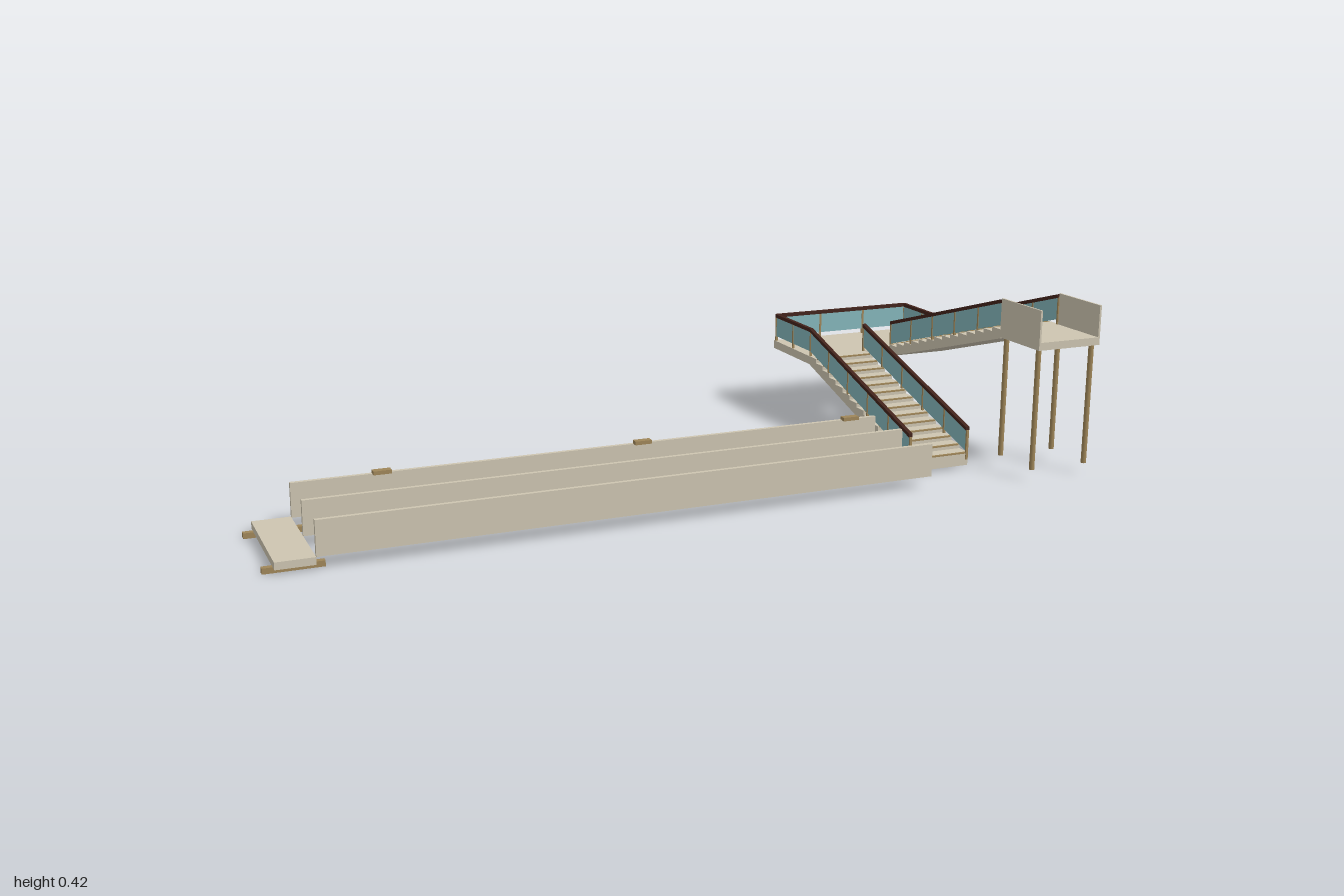
import * as THREE from 'three';

const mat = (name, color) => {
  const m = new THREE.MeshStandardMaterial({ color });
  m.name = name;
  return m;
};

export function createModel() {
  const root = new THREE.Group();
  root.name = 'staircaseAndWalkway';
  const concrete = mat('concrete', 0xcdc5b1);
  const glass = mat('tealGlass', 0x84b6bb);
  const wood = mat('darkWoodRail', 0x42231b);
  const bronze = mat('bronze', 0x9f8659);

  const add = (name, geo, material, parent = root) => {
    const m = new THREE.Mesh(geo, material);
    m.name = name;
    parent.add(m);
    return m;
  };
  // Box given by its minimum and maximum on each axis
  const box = (name, x0, x1, y0, y1, z0, z1, material, parent) =>
    add(name, new THREE.BoxGeometry(x1 - x0, y1 - y0, z1 - z0)
      .translate((x0 + x1) / 2, (y0 + y1) / 2, (z0 + z1) / 2), material, parent);

  // Bar from a to b with vertical ends, spanning heights y0..y1 above the line
  function sloped(name, a, b, thick, y0, y1, material, parent) {
    const dx = b.x - a.x, dz = b.z - a.z, len = Math.hypot(dx, dz);
    const geo = new THREE.BoxGeometry(thick, y1 - y0, len);
    const p = geo.attributes.position;
    for (let i = 0; i < p.count; i++)
      p.setY(i, p.getY(i) + (y0 + y1) / 2 + (b.y - a.y) * p.getZ(i) / len);
    geo.computeVertexNormals();
    geo.rotateY(Math.atan2(dx, dz));
    geo.translate((a.x + b.x) / 2, (a.y + b.y) / 2, (a.z + b.z) / 2);
    add(name, geo, material, parent);
  }

  // Glass balustrade: pane, posts and handrail above a base line
  function balustrade(a, b, bays) {
    const g = new THREE.Group();
    g.name = 'balustrade';
    root.add(g);
    sloped('glassPane', a, b, 0.003, 0.035, 0.09, glass, g);
    sloped('handrail', a, b, 0.01, 0.089, 0.098, wood, g);
    for (let i = 0; i <= bays; i++) {
      const p = a.clone().lerp(b, i / bays);
      box('railPost', p.x - 0.003, p.x + 0.003, p.y + 0.015, p.y + 0.09,
        p.z - 0.0025, p.z + 0.0025, bronze, g);
    }
  }

  // Stair flight with stepped top, sloping soffit and bronze nosings
  function flight(name, x0, x1, zLow, zHigh, yLow, yHigh) {
    const n = 14, g = new THREE.Group();
    g.name = name;
    root.add(g);
    const run = (zHigh - zLow) / n, rise = (yHigh - yLow) / n, dir = Math.sign(run);
    const shape = new THREE.Shape();
    shape.moveTo(zHigh, yHigh);
    shape.lineTo(zLow, yLow);
    for (let i = 0; i < n; i++) {
      const y = yLow + 0.022 + rise * (i + 1), z = zLow + run * i;
      shape.lineTo(z, y);
      shape.lineTo(z + run, y);
      const za = z - dir * 0.001, zb = z + dir * 0.004;
      box('nosing', x0 + 0.004, x1 - 0.004, y - 0.003, y + 0.0008,
        Math.min(za, zb), Math.max(za, zb), bronze, g);
    }
    shape.closePath();
    const geo = new THREE.ExtrudeGeometry(shape, { depth: x1 - x0, bevelEnabled: false });
    geo.rotateY(-Math.PI / 2).translate(x1, 0, 0);
    add('steps', geo, concrete, g);
    for (const x of [x0 + 0.004, x1 - 0.004])
      balustrade(new THREE.Vector3(x, yLow, zLow), new THREE.Vector3(x, yHigh, zHigh), 5);
  }

  flight('lowerFlight', 0.58, 0.75, 0.288, -0.236, 0.008, 0.164);
  flight('upperFlight', 0.828, 0.998, -0.236, 0.288, 0.164, 0.323);

  // Half landing with balustrade on three sides
  box('landing', 0.58, 0.998, 0.164, 0.186, -0.449, -0.236, concrete);
  const corners = [[0.584, -0.236], [0.584, -0.441], [0.994, -0.441], [0.994, -0.236]]
    .map(([x, z]) => new THREE.Vector3(x, 0.164, z));
  [2, 3, 2].forEach((bays, i) => balustrade(corners[i], corners[i + 1], bays));

  // Upper platform with solid parapets and four columns
  box('platform', 0.828, 0.998, 0.326, 0.345, 0.288, 0.45, concrete);
  for (const x of [0.826, 0.994]) box('parapet', x, x + 0.005, 0.326, 0.423, 0.288, 0.45, concrete);
  for (const x of [0.836, 0.987])
    for (const z of [0.303, 0.435])
      add('column', new THREE.CylinderGeometry(0.0065, 0.0065, 0.3, 16), bronze)
        .position.set(x, 0.178, z);

  // Long parallel walls
  for (const z of [0.114, 0.246, 0.384])
    box('longWall', -0.89, 0.58, 0.029, 0.109, z, z + 0.01, concrete);
  for (const x of [-0.685, -0.055, 0.505])
    box('wallBracket', x - 0.021, x + 0.021, 0.108, 0.117, 0.117, 0.135, bronze);

  // End plate on two runners
  box('endPlate', -0.977, -0.89, 0.012, 0.029, 0.114, 0.394, concrete);
  for (const z of [0.136, 0.37])
    box('runner', -1, -0.868, 0, 0.013, z - 0.007, z + 0.007, bronze);

  return root;
}
